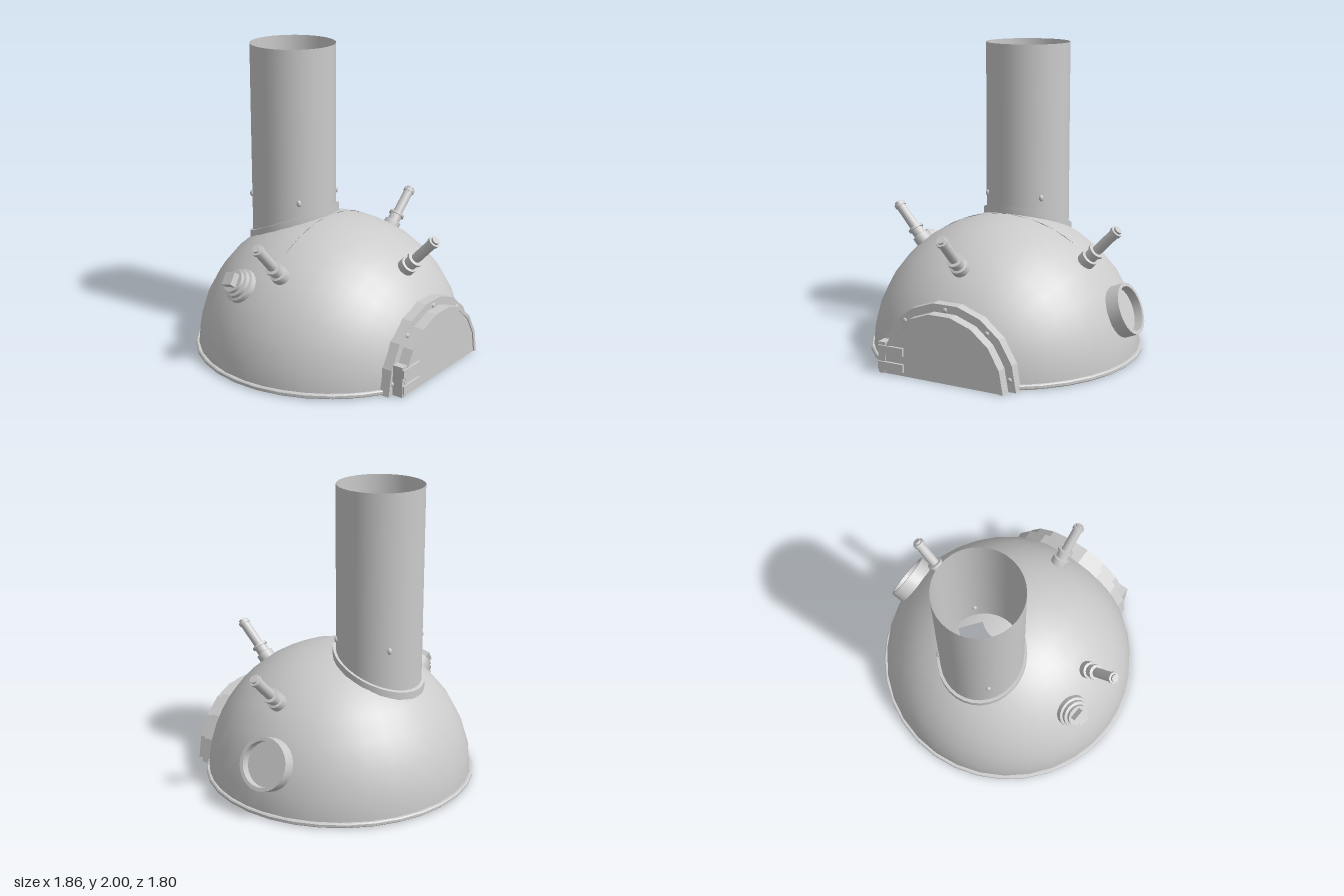
import * as THREE from 'three';
import { mergeGeometries, toCreasedNormals } from 'three/addons/utils/BufferGeometryUtils.js';

const R = 0.89, PI = Math.PI, STEP = PI / 16;
const mat = new THREE.MeshStandardMaterial({ color: 0xcccccc, side: THREE.DoubleSide });
const domeY = (x, z) => Math.sqrt(Math.max(0, R * R - x * x - z * z));
const crease = (g) => toCreasedNormals(g, 0.6);

export function createModel() {
  const model = new THREE.Group();
  const body = new THREE.Group();
  body.name = 'domeOven';
  body.position.x = -0.02;
  model.add(body);

  const add = (name, geo, x = 0, y = 0, z = 0, parent = body) => {
    const m = new THREE.Mesh(geo, mat);
    m.name = name;
    m.position.set(x, y, z);
    parent.add(m);
    return m;
  };
  const lathe = (pts, seg) =>
    crease(new THREE.LatheGeometry(pts.map((p) => new THREE.Vector2(...p)), seg));
  // Group whose local y axis points along dir
  const aimed = (name, pos, dir) => {
    const g = new THREE.Group();
    g.name = name;
    g.position.copy(pos);
    g.quaternion.setFromUnitVectors(new THREE.Vector3(0, 1, 0), dir.clone().normalize());
    body.add(g);
    return g;
  };

  // Dome: back half in latitude bands with an opening under the chimney
  const patch = (lat, nLat, lon, nLon) => new THREE.SphereGeometry(
    R, nLon, nLat, PI + lon * STEP, nLon * STEP, lat * STEP, nLat * STEP);
  const back = [
    patch(0, 1, 0, 16),
    patch(1, 1, 0, 4), patch(1, 1, 12, 4),
    patch(2, 1, 0, 5), patch(2, 1, 11, 5),
    patch(3, 5, 0, 16),
  ];
  // Front half runs in rings around the doorway
  const t0 = Math.asin(0.425 / R);
  const front = new THREE.SphereGeometry(R, 16, 7, PI, PI, t0, PI / 2 - t0).rotateX(PI / 2);
  add('dome', mergeGeometries([...back, front]));

  // Base rim, interrupted at the doorway
  const rimGap = Math.asin(0.46 / 0.9);
  const rimPts = [[0.875, 0.005], [0.9, 0.005], [0.908, 0.012], [0.908, 0.028], [0.9, 0.035], [0.88, 0.035]];
  add('baseRim', crease(new THREE.LatheGeometry(
    rimPts.map((p) => new THREE.Vector2(...p)), 28, rimGap, 2 * PI - 2 * rimGap)));

  // Chimney pipe, its lower end following the dome
  const pz = -0.305, pr = 0.28;
  const pipe = new THREE.CylinderGeometry(pr, pr, 1, 32, 1, true);
  const pp = pipe.attributes.position;
  for (let i = 0; i < pp.count; i++)
    pp.setY(i, pp.getY(i) > 0 ? 2 : domeY(pp.getX(i), pp.getZ(i) + pz) - 0.01);
  add('chimneyPipe', pipe, 0, 0, pz);

  // Sloping collar around the pipe
  const collar = new THREE.LatheGeometry(
    [[0.3, 0], [0.3, 1], [pr, 1]].map((p) => new THREE.Vector2(...p)), 32);
  const cp = collar.attributes.position;
  for (let i = 0; i < cp.count; i++) {
    const x = cp.getX(i), z = cp.getZ(i) + pz;
    cp.setY(i, cp.getY(i) > 0.5 ? 0.945 + (z + 0.005) * 0.412 : domeY(x, z) - 0.012);
  }
  add('chimneyCollar', crease(collar), 0, 0, pz);

  // Four rivets on the pipe
  for (let i = 0; i < 4; i++) {
    const a = PI / 4 + (i * PI) / 2;
    add('pipeRivet', new THREE.SphereGeometry(0.02, 10, 8),
      pr * Math.sin(a), 0.995, pz + pr * Math.cos(a)).scale.set(0.8, 1.1, 0.8);
  }

  // Arched doorway: nine flat sides, 20 degrees each
  const arc = (r) => Array.from({ length: 10 }, (_, i) =>
    new THREE.Vector2(r * Math.cos((i * PI) / 9), r * Math.sin((i * PI) / 9)));
  const arch = (name, outer, inner, z0, z1) => {
    const pts = inner ? [...arc(outer), ...arc(inner).reverse()] : arc(outer);
    add(name, new THREE.ExtrudeGeometry(new THREE.Shape(pts),
      { depth: z1 - z0, bevelEnabled: false }), 0, 0.003, z0);
  };
  arch('doorFlange', 0.487, 0.425, 0.735, 0.81);
  arch('doorTunnel', 0.435, 0.412, 0.75, 0.882);
  arch('doorPanel', 0.414, 0, 0.855, 0.874);
  for (let i = 0; i < 5; i++) {
    const a = ((10 + 40 * i) * PI) / 180;
    add('flangeRivet', new THREE.SphereGeometry(0.016, 10, 8),
      0.45 * Math.cos(a), 0.45 * Math.sin(a), 0.81).scale.z = 0.6;
  }

  // Door hinge: upright plate and two straps
  add('hingePlate', new THREE.BoxGeometry(0.05, 0.2, 0.07), -0.42, 0.105, 0.845);
  for (const y of [0.055, 0.16])
    add('hingeStrap', new THREE.BoxGeometry(0.18, 0.052, 0.022), -0.352, y, 0.88);

  // Three nozzles: [base, tip]
  const nozzle = lathe([
    [0, -0.03], [0.05, -0.03], [0.058, 0], [0.058, 0.045], [0.043, 0.05], [0.043, 0.095],
    [0.054, 0.095], [0.054, 0.112], [0.033, 0.115], [0.033, 0.29], [0.039, 0.29],
    [0.039, 0.312], [0.026, 0.314], [0.026, 0.328], [0, 0.328]], 16);
  for (const [b, t] of [
    [[-0.005, 0.655, 0.6], [-0.015, 0.893, 0.828]],
    [[0.6, 0.655, 0.067], [0.83, 0.893, 0.085]],
    [[-0.6, 0.655, 0.068], [-0.81, 0.893, 0.053]],
  ]) {
    const base = new THREE.Vector3(...b);
    const g = aimed('nozzle', base, new THREE.Vector3(...t).sub(base));
    add('nozzleBody', nozzle, 0, 0, 0, g);
  }

  // Round side port with a sunken pane
  const portDir = new THREE.Vector3(Math.cos(0.39), Math.sin(0.39), -0.012).normalize();
  const port = aimed('sidePort', portDir.clone().multiplyScalar(0.85), portDir);
  add('portRing', lathe([[0.146, 0], [0.17, 0], [0.17, 0.108], [0.146, 0.108], [0.146, 0]], 24), 0, 0, 0, port);
  add('portPane', new THREE.CylinderGeometry(0.147, 0.147, 0.012, 24), 0, 0.045, 0, port);

  // Stepped plug with a square head
  const plugDir = new THREE.Vector3(-0.67, 0.55, -0.2).normalize();
  const plug = aimed('plug', plugDir.clone().multiplyScalar(0.87), plugDir);
  add('plugBody', lathe([
    [0, 0], [0.112, 0], [0.112, 0.045], [0.095, 0.05], [0.095, 0.075],
    [0.075, 0.08], [0.075, 0.1], [0, 0.1]], 20), 0, 0, 0, plug);
  add('plugHead', new THREE.BoxGeometry(0.085, 0.05, 0.085), 0, 0.118, 0, plug);

  return model;
}
